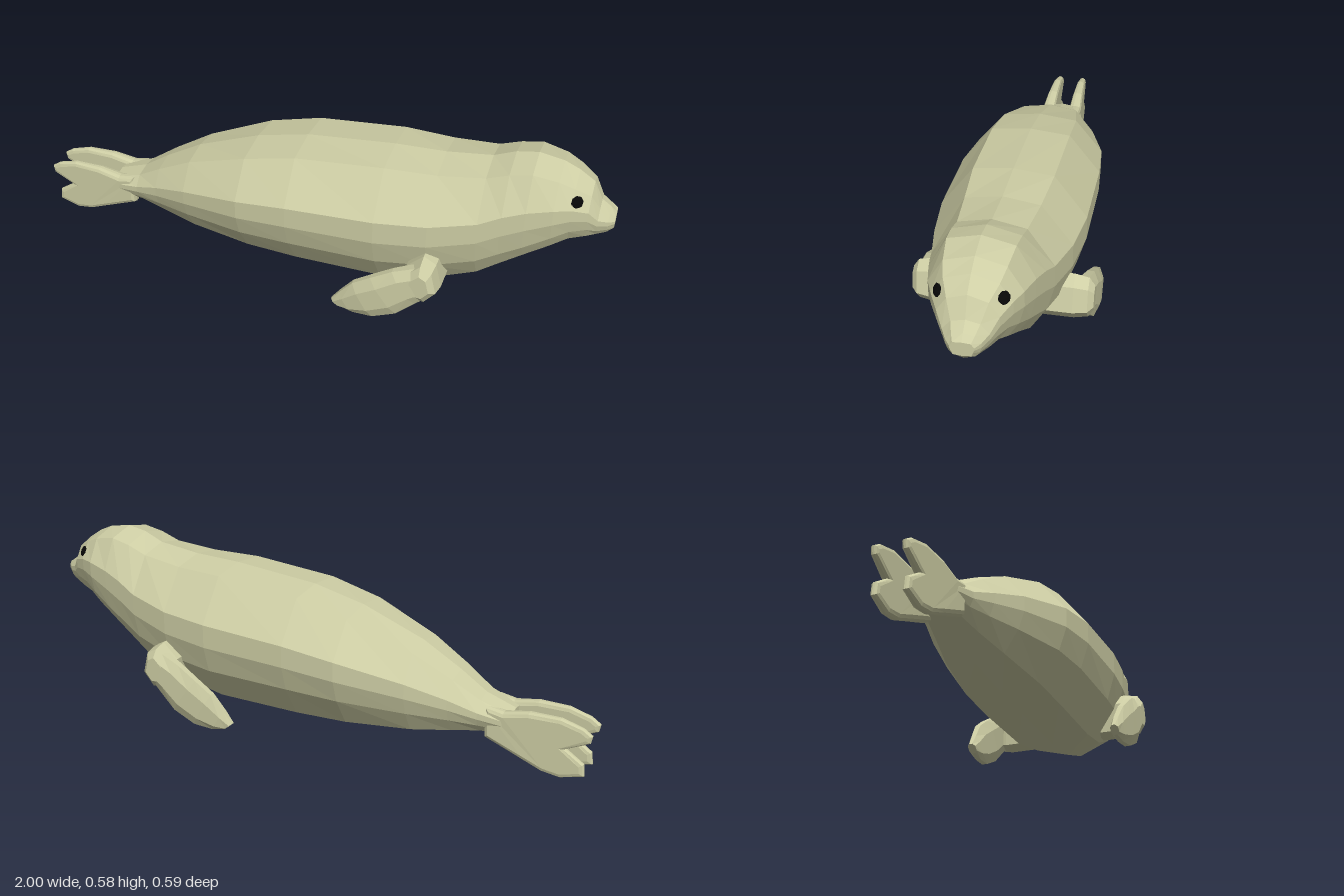
import * as THREE from 'three';

const skin = new THREE.MeshStandardMaterial({ color: 0xcdcda4, flatShading: true });
const black = new THREE.MeshStandardMaterial({ color: 0x080808, flatShading: true });

// Skin a closed surface over rings of [x, y, z] points, capping both ends.
function loft(rings) {
  const n = rings[0].length;
  const pos = rings.flat(2);
  const tris = [];
  for (let i = 0; i < rings.length - 1; i++) {
    for (let j = 0; j < n; j++) {
      const a = i * n + j, b = i * n + (j + 1) % n;
      tris.push([a, b, b + n], [a, b + n, a + n]);
    }
  }
  for (const [i, flip] of [[0, true], [rings.length - 1, false]]) {
    const c = pos.length / 3;
    for (let k = 0; k < 3; k++) pos.push(rings[i].reduce((s, p) => s + p[k], 0) / n);
    for (let j = 0; j < n; j++) {
      const a = i * n + j, b = i * n + (j + 1) % n;
      tris.push(flip ? [c, b, a] : [c, a, b]);
    }
  }
  // Signed volume decides which way the faces must wind to point outwards.
  const v = i => new THREE.Vector3().fromArray(pos, i * 3);
  const volume = tris.reduce((s, [a, b, c]) => s + v(a).dot(v(b).cross(v(c))), 0);
  const geo = new THREE.BufferGeometry();
  geo.setAttribute('position', new THREE.Float32BufferAttribute(pos, 3));
  geo.setIndex(tris.flatMap(([a, b, c]) => (volume < 0 ? [a, c, b] : [a, b, c])));
  const flat = geo.toNonIndexed();
  flat.computeVertexNormals();
  return flat;
}

function part(name, geometry, material = skin) {
  const mesh = new THREE.Mesh(geometry, material);
  mesh.name = name;
  return mesh;
}

// Trunk and head: x, top, bottom, half width, back ridge (width, height), belly ridge (width, height)
const stations = [
  [-0.74, 0.185, 0.10, 0.070, 0.65, 0.92, 0.6, 0.10],
  [-0.64, 0.220, 0.095, 0.088, 0.65, 0.93, 0.6, 0.08],
  [-0.55, 0.280, 0.08, 0.115, 0.65, 0.94, 0.6, 0.06],
  [-0.42, 0.355, 0.062, 0.160, 0.60, 0.95, 0.6, 0.05],
  [-0.20, 0.440, 0.050, 0.220, 0.58, 0.96, 0.57, 0.04],
  [-0.02, 0.483, 0.045, 0.235, 0.56, 0.97, 0.56, 0.04],
  [0.28, 0.513, 0.040, 0.235, 0.55, 0.97, 0.55, 0.05],
  [0.45, 0.520, 0.060, 0.216, 0.54, 0.96, 0.55, 0.07],
  [0.60, 0.540, 0.105, 0.185, 0.56, 0.95, 0.60, 0.11],
  [0.67, 0.570, 0.145, 0.170, 0.60, 0.94, 0.63, 0.14],
  [0.74, 0.583, 0.190, 0.155, 0.64, 0.94, 0.65, 0.16],
  [0.82, 0.570, 0.260, 0.136, 0.66, 0.92, 0.65, 0.14],
  [0.87, 0.548, 0.305, 0.115, 0.68, 0.90, 0.65, 0.12],
  [0.92, 0.515, 0.325, 0.088, 0.66, 0.90, 0.65, 0.10],
  [0.95, 0.455, 0.335, 0.066, 0.62, 0.92, 0.65, 0.12],
  [0.98, 0.435, 0.348, 0.050, 0.65, 0.92, 0.65, 0.12],
  [1.00, 0.418, 0.372, 0.034, 0.75, 0.96, 0.75, 0.06],
];

function bodyRing([x, top, bottom, w, kBack, tBack, kBelly, tBelly]) {
  const half = [[kBack, tBack], [1, 0.67], [1, 0.5], [0.88, 0.3], [kBelly, tBelly]];
  const profile = [[0, 1], ...half, [0, 0], ...half.map(([k, t]) => [-k, t]).reverse()];
  return profile.map(([k, t]) => [x, bottom + t * (top - bottom), k * w]);
}

// Front flipper blade: upper edge (x, y), lower edge (x, y), centre z, half thickness
const blade = [
  [0.43, 0.235, 0.485, 0.135, 0.250, 0.036],
  [0.36, 0.210, 0.440, 0.100, 0.262, 0.028],
  [0.29, 0.170, 0.380, 0.045, 0.268, 0.026],
  [0.23, 0.130, 0.300, 0.008, 0.267, 0.025],
  [0.185, 0.075, 0.230, 0.001, 0.262, 0.021],
  [0.155, 0.035, 0.185, 0.010, 0.260, 0.014],
];

function bladeRing([xa, ya, xb, yb, z, h]) {
  const at = (t, dz) => [xa + t * (xb - xa), ya + t * (yb - ya), z + dz];
  return [at(0, -h * 0.4), at(0, h * 0.4), at(0.25, h), at(0.75, h),
    at(1, h * 0.4), at(1, -h * 0.4), at(0.75, -h), at(0.25, -h)];
}

// Shoulder cuff outline, and its shrinking rings from inside the trunk outwards
const cuff = [[0.395, 0.21], [0.45, 0.262], [0.492, 0.238], [0.512, 0.155], [0.47, 0.105], [0.40, 0.11]];
const cuffRings = [[0.13, 1], [0.225, 1], [0.27, 0.88], [0.288, 0.55]];

function frontFlipper(side) {
  const mirror = rings => rings.map(r => r.map(([x, y, z]) => [x, y, z * side]));
  const group = new THREE.Group();
  const shoulder = cuffRings.map(([z, s]) =>
    cuff.map(([x, y]) => [0.453 + (x - 0.453) * s, 0.18 + (y - 0.18) * s, z]));
  group.add(part('shoulder', loft(mirror(shoulder))));
  group.add(part('flipperBlade', loft(mirror(blade.map(bladeRing)))));
  return group;
}

// Forked hind flipper: bevelled outline, thinned towards the tip
function hindFlipper(side) {
  const outline = [[-0.66, 0.20], [-0.72, 0.19], [-0.80, 0.205], [-0.90, 0.205], [-0.97, 0.185],
    [-1.0, 0.165], [-0.995, 0.14], [-0.92, 0.105], [-0.98, 0.065], [-0.985, 0.025],
    [-0.91, 0.005], [-0.85, 0.015], [-0.78, 0.045], [-0.66, 0.095]];
  const shape = new THREE.Shape(outline.map(p => new THREE.Vector2(...p)));
  const geo = new THREE.ExtrudeGeometry(shape, {
    depth: 0.008, bevelThickness: 0.011, bevelSize: 0.014, bevelOffset: -0.014, bevelSegments: 2,
  });
  geo.translate(0, 0, -0.004);
  const p = geo.attributes.position;
  for (let i = 0; i < p.count; i++) {
    const t = THREE.MathUtils.clamp((p.getX(i) + 1) / 0.3, 0, 1);
    const centre = 0.046 + 0.006 * t;
    p.setZ(i, side * centre + p.getZ(i) / 0.015 * (0.011 + 0.013 * t));
  }
  geo.computeVertexNormals();
  return part('hindFlipper', geo);
}

// Small faceted disc lying on the side of the head
function eye(side) {
  const mesh = part('eye', new THREE.SphereGeometry(0.022, 7, 4), black);
  mesh.scale.set(1, 0.95, 0.35);
  mesh.position.set(0.882, 0.488, side * 0.092);
  mesh.lookAt(0.882 + 0.6, 0.488 + 0.35, side * (0.092 + 0.75));
  return mesh;
}

export function createModel() {
  const model = new THREE.Group();
  model.name = 'seal';
  model.add(part('body', loft(stations.map(bodyRing))));
  for (const [side, label] of [[1, 'right'], [-1, 'left']]) {
    const front = frontFlipper(side);
    front.name = `${label}FrontFlipper`;
    const hind = hindFlipper(side);
    hind.name = `${label}HindFlipper`;
    const e = eye(side);
    e.name = `${label}Eye`;
    model.add(front, hind, e);
  }
  return model;
}
